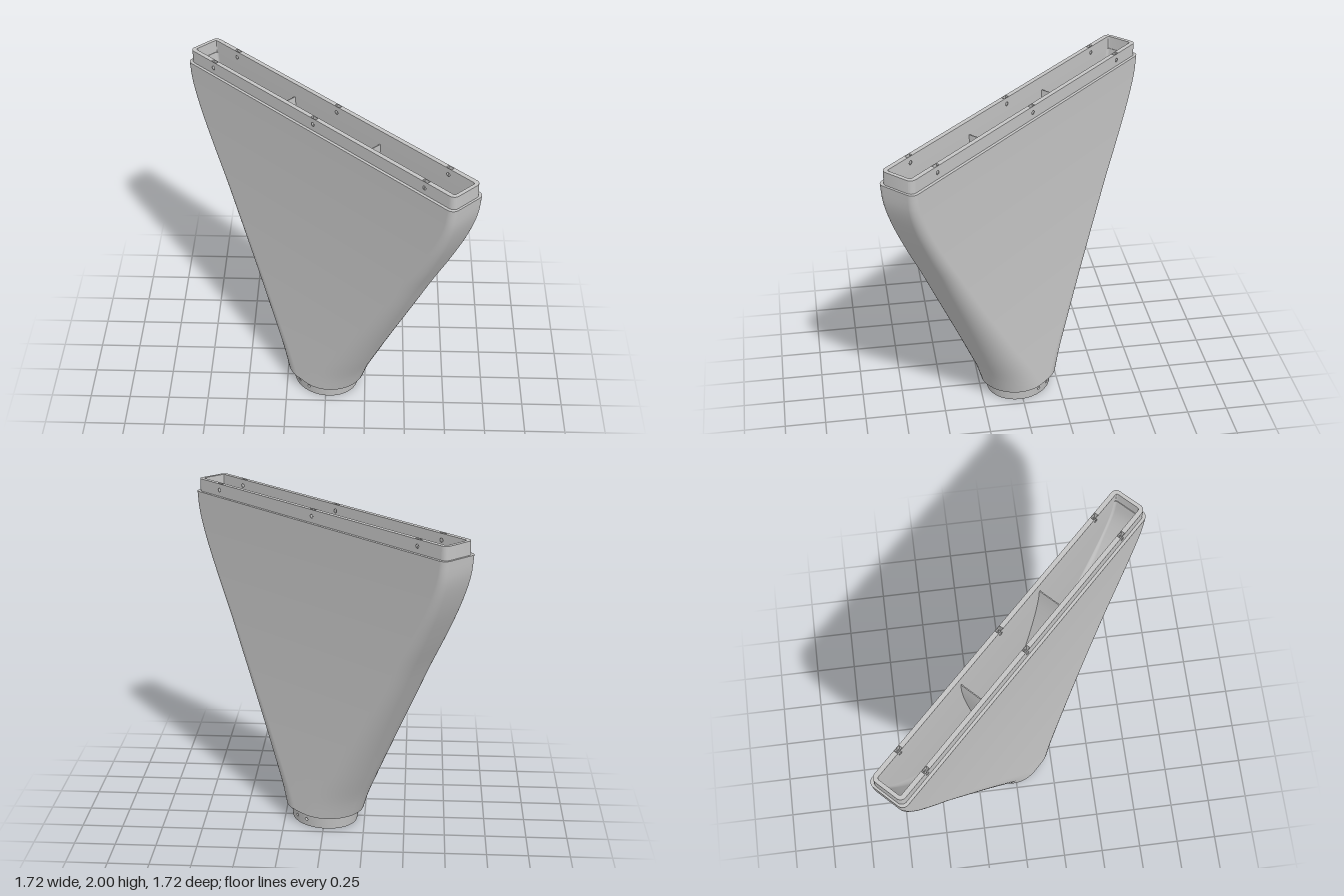
import * as THREE from 'three';
import { toCreasedNormals } from 'three/addons/utils/BufferGeometryUtils.js';

const mix = THREE.MathUtils.lerp;
const Y0 = 0.085, Y1 = 1.92, TOP = 2;

// Diagonal side outline of the funnel: (height, reach along world x)
const sidePath = [
  [Y0, 0.243], [0.2, 0.274], [0.4, 0.344], [0.6, 0.416], [1.0, 0.564],
  [1.2, 0.638], [1.4, 0.717], [1.63, 0.80], [1.8, 0.845], [Y1, 0.857],
];
const curve = new THREE.CatmullRomCurve3(sidePath.map(([y, x]) => new THREE.Vector3(x, y, 0)));
const samples = curve.getPoints(120);

function reach(y) {
  const i = Math.max(1, samples.findIndex((p) => p.y >= y - 1e-6));
  const a = samples[i - 1], b = samples[i];
  return mix(a.x, b.x, (y - a.y) / (b.y - a.y));
}

// Outer section at a height (half length, half width, corner radius),
// or the same section moved in by the wall
function section(y, inner) {
  const t = THREE.MathUtils.clamp((y - Y0) / (Y1 - Y0), 0, 1);
  const w = 0.125 + 0.09 * (1 - t) ** 2;
  const r = w * mix(1, 0.32, t);
  const l = (reach(Math.max(y, Y0)) - r) * Math.SQRT2 + 2 * r - w;
  if (!inner) return { y, l, w, r };
  const wall = mix(0.025, 0.045, t), iw = w - wall;
  return { y, l: l - mix(0.05, 0.04, t), w: iw, r: Math.min(iw, Math.max(0.015, r - wall)) };
}

// Rounded rectangle ring
function ring({ y, l, w, r }) {
  const pts = [], n = 12;
  for (let c = 0; c < 4; c++) {
    const sx = c === 0 || c === 3 ? 1 : -1, sz = c < 2 ? 1 : -1;
    for (let i = 0; i <= n; i++) {
      const a = (c + i / n) * Math.PI / 2;
      // a hair of spacing keeps neighbouring corners apart on round ends
      const e = 0.001;
      pts.push([sx * (l - r + e) + r * Math.cos(a), y, sz * (w - r + e) + r * Math.sin(a)]);
    }
  }
  return pts;
}

function loft(sections) {
  const rings = sections.map(ring), n = rings[0].length, index = [];
  for (let j = 0; j < rings.length - 1; j++) {
    for (let i = 0; i < n; i++) {
      const a = j * n + i, b = j * n + (i + 1) % n;
      index.push(a, a + n, b, b, a + n, b + n);
    }
  }
  const g = new THREE.BufferGeometry();
  g.setAttribute('position', new THREE.Float32BufferAttribute(rings.flat(2), 3));
  g.setIndex(index);
  g.computeVertexNormals();
  return g;
}

// Long collar wall layer, with screw holes or with nut slots open at the top
const COLLAR_END = 1.063;
function collarLayer(slotted, z, depth) {
  const s = new THREE.Shape();
  const xs = [0.88, 0, -0.88];
  s.moveTo(-COLLAR_END, Y1);
  s.lineTo(COLLAR_END, Y1);
  s.lineTo(COLLAR_END, TOP);
  for (const x of xs) {
    if (slotted) {
      s.lineTo(x + 0.02, TOP);
      s.lineTo(x + 0.02, 1.935);
      s.lineTo(x - 0.02, 1.935);
      s.lineTo(x - 0.02, TOP);
    } else {
      s.holes.push(new THREE.Path().absarc(x, 1.96, 0.012, 0, Math.PI * 2, true));
    }
  }
  s.lineTo(-COLLAR_END, TOP);
  const g = new THREE.ExtrudeGeometry(s, { depth, bevelEnabled: false, curveSegments: 10 });
  return g.translate(0, 0, z);
}

// Rounded end of the collar, seen in plan
function collarEnd() {
  const s = new THREE.Shape();
  const h = Math.PI / 2;
  s.moveTo(COLLAR_END, -0.108);
  s.absarc(COLLAR_END, -0.073, 0.035, -h, 0, false);
  s.absarc(COLLAR_END, 0.073, 0.035, 0, h, false);
  s.lineTo(COLLAR_END, 0.08);
  s.absarc(COLLAR_END, 0.068, 0.012, h, 0, true);
  s.absarc(COLLAR_END, -0.068, 0.012, 0, -h, true);
  const g = new THREE.ExtrudeGeometry(s, { depth: TOP - Y1, bevelEnabled: false, curveSegments: 8 });
  g.rotateX(-Math.PI / 2).translate(0, Y1, 0);
  return toCreasedNormals(g, 0.6);
}

// Slightly oval spout: curved sectors, and small plates with one hole each
const HOLE = 0.195, HALF = 0.085, OVAL = [1.05, 1, 0.94];
function spoutSector(start, length) {
  const p = [[0.19, 0], [0.205, 0], [0.215, Y0], [0.19, Y0], [0.19, 0]].map(([x, y]) => new THREE.Vector2(x, y));
  const g = new THREE.LatheGeometry(p, Math.ceil(length * 12), start, length);
  return toCreasedNormals(g.scale(...OVAL), 0.6);
}

function spoutPlate(angle) {
  const s = new THREE.Shape();
  s.moveTo(angle - HALF, 0);
  s.lineTo(angle + HALF, 0);
  s.lineTo(angle + HALF, Y0);
  s.lineTo(angle - HALF, Y0);
  s.holes.push(new THREE.Path().absellipse(angle, 0.045, 0.048, 0.01, 0, Math.PI * 2, true, 0));
  const g = new THREE.ExtrudeGeometry(s, { depth: 1, bevelEnabled: false, curveSegments: 8 });
  const p = g.attributes.position;
  for (let i = 0; i < p.count; i++) {
    const a = p.getX(i), y = p.getY(i);
    const r = mix(0.19, mix(0.205, 0.215, y / Y0), p.getZ(i));
    p.setXYZ(i, r * Math.sin(a), y, r * Math.cos(a));
  }
  g.scale(...OVAL);
  return toCreasedNormals(g, 0.6);
}

// Flow divider following one third of the inner length, thinner at the top
function divider() {
  const lo = 0.02, hi = 1.91;
  const g = new THREE.BoxGeometry(1, hi - lo, 2, 1, 36, 1);
  g.translate(0, (hi + lo) / 2, 0);
  const p = g.attributes.position;
  for (let i = 0; i < p.count; i++) {
    const y = p.getY(i), s = section(y, true);
    p.setX(i, p.getX(i) * mix(0.02, 0.006, y / hi) + s.l / 3);
    p.setZ(i, p.getZ(i) * Math.min(0.18, s.w + 0.002));
  }
  g.computeVertexNormals();
  return g;
}

export function createModel() {
  const grey = new THREE.MeshStandardMaterial({ color: 0xc4c4c4 });
  grey.name = 'light grey plastic';
  const model = new THREE.Group();
  model.name = 'funnelNozzle';
  const add = (name, geometry, turn = 0) => {
    const m = new THREE.Mesh(geometry, grey);
    m.name = name;
    m.rotation.y = turn;
    model.add(m);
  };

  // Funnel shell
  const heights = Array.from({ length: 41 }, (_, i) => mix(Y0, Y1, i / 40));
  const spoutRim = { y: Y0, l: 0.2, w: 0.179, r: 0.179 };
  const innerSections = heights.slice(1).map((y) => section(y, true));
  add('outerShell', loft(heights.map((y) => section(y))));
  add('innerShell', loft([spoutRim, ...innerSections].reverse()));
  add('topLedge', loft([section(Y1), section(Y1, true)]));
  add('bottomLedge', loft([spoutRim, section(Y0)]));

  // Parts repeated on both sides
  for (const turn of [0, Math.PI]) {
    add('collarOuterWall', collarLayer(false, 0.104, 0.004), turn);
    add('collarSlotLayer', collarLayer(true, 0.084, 0.02), turn);
    add('collarInnerWall', collarLayer(false, 0.08, 0.004), turn);
    add('collarEnd', collarEnd(), turn);
    add('spoutSide', spoutSector(HOLE + HALF, Math.PI - 2 * (HOLE + HALF)), turn);
    add('spoutMiddle', spoutSector(HALF - HOLE, 2 * (HOLE - HALF)), turn);
    for (const angle of [-HOLE, HOLE]) add('spoutHolePlate', spoutPlate(angle), turn);
    add('flowDivider', divider(), turn);
  }

  // The long side lies on the diagonal
  model.rotation.y = -Math.PI / 4;
  const root = new THREE.Group();
  root.name = 'nozzle';
  root.add(model);
  return root;
}
